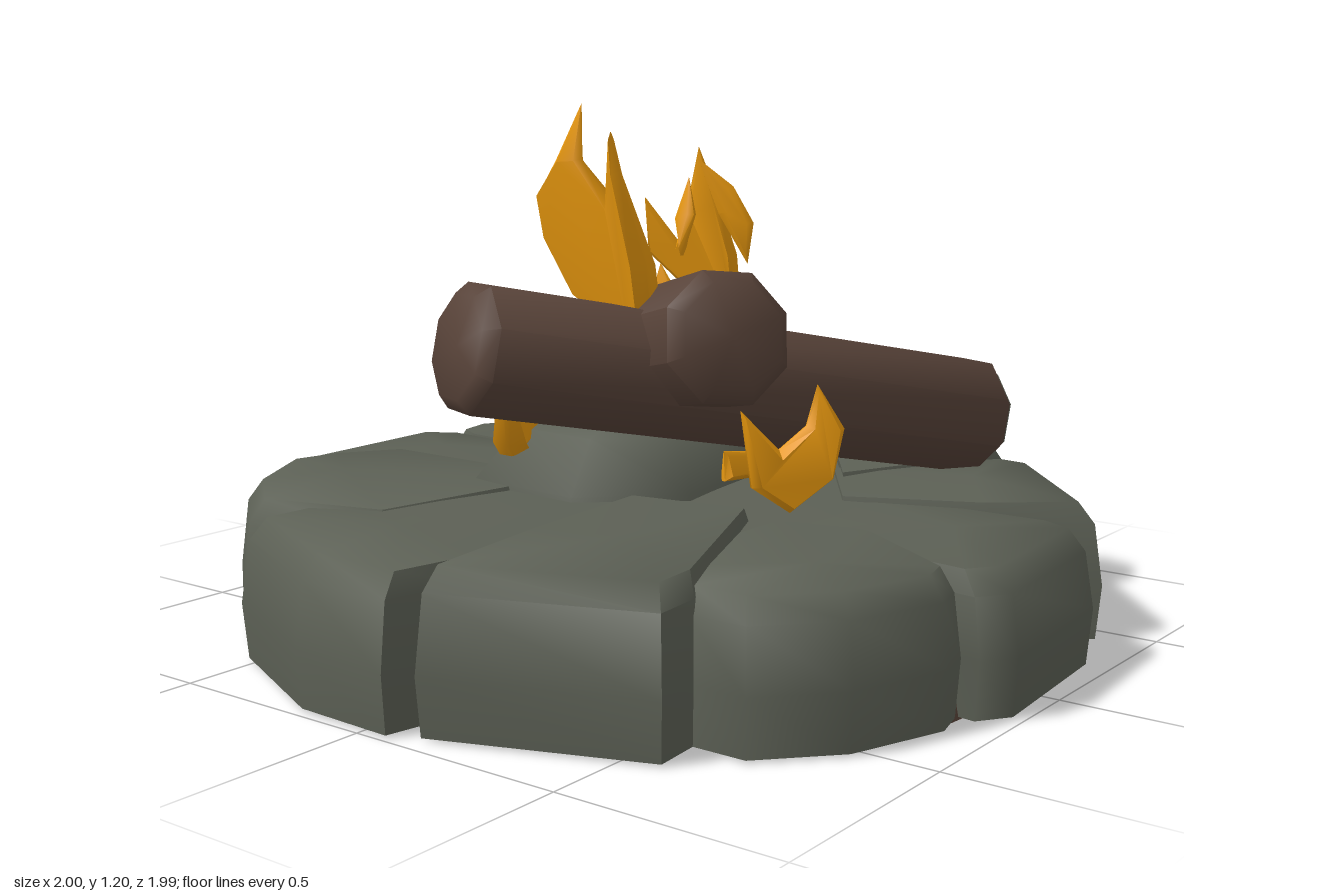
import * as THREE from 'three';
import { toCreasedNormals } from 'three/addons/utils/BufferGeometryUtils.js';

const material = (name, color, side = THREE.FrontSide) => {
  const m = new THREE.MeshStandardMaterial({ color, side });
  m.name = name;
  return m;
};

// Rounded block: footprint corners [x, z] lofted through [height, scale] levels,
// scaled about a point between its centre and the middle of the model
function block(points, levels, lift = 0) {
  const n = points.length;
  const cx = points.reduce((s, p) => s + p[0], 0) / n;
  const cz = points.reduce((s, p) => s + p[1], 0) / n;
  const ox = cx * 0.6, oz = cz * 0.6;
  const ring = [...points].sort((a, b) =>
    Math.atan2(a[1] - cz, a[0] - cx) - Math.atan2(b[1] - cz, b[0] - cx));
  const pos = [], idx = [];
  for (const [y, s] of levels)
    for (const [x, z] of ring) pos.push(ox + (x - ox) * s, y, oz + (z - oz) * s);
  const last = levels.length - 1, bottom = n * levels.length, top = bottom + 1;
  pos.push(cx, levels[0][0], cz, cx, levels[last][0] + lift, cz);
  for (let i = 0; i < n; i++) {
    const k = (i + 1) % n;
    for (let j = 0; j < last; j++) {
      const a = j * n + i, b = j * n + k, c = b + n, d = a + n;
      idx.push(a, d, c, a, c, b);
    }
    idx.push(bottom, i, k, top, last * n + k, last * n + i);
  }
  const g = new THREE.BufferGeometry();
  g.setAttribute('position', new THREE.Float32BufferAttribute(pos, 3));
  g.setIndex(idx);
  return toCreasedNormals(g, 1.1);
}

// Flame: outline [u, y] placed by a rule (u, y) -> [x, z], thick at the base and thin at the tips
function flame(outline, place, dir, thickness) {
  const bevel = 0.012;
  const shape = new THREE.Shape(outline.map(p => new THREE.Vector2(...p)));
  const g = new THREE.ExtrudeGeometry(shape, {
    depth: 0.01, bevelThickness: thickness / 2, bevelSize: bevel, bevelOffset: -bevel, bevelSegments: 1,
  });
  const p = g.attributes.position, l = Math.hypot(...dir);
  const heights = outline.map(q => q[1]);
  const low = Math.min(...heights), high = Math.max(...heights);
  for (let i = 0; i < p.count; i++) {
    const y = p.getY(i), [x, z] = place(p.getX(i), y);
    const taper = THREE.MathUtils.clamp(1.6 * (high - y) / (high - low), 0.06, 1);
    const d = (p.getZ(i) - 0.005) * taper;
    p.setXYZ(i, x - dir[1] / l * d, y, z + dir[0] / l * d);
  }
  return toCreasedNormals(g, 0.9);
}

export function createModel() {
  const model = new THREE.Group();
  model.name = 'campfire';
  const stone = material('stone', 0x5c6055);
  const wood = material('wood', 0x584339);
  const fire = material('fire', 0xe8980e, THREE.DoubleSide);
  const add = (name, geometry, mat, parent = model) => {
    const m = new THREE.Mesh(geometry, mat);
    m.name = name;
    parent.add(m);
    return m;
  };

  // Ring of overlapping stones: [top height, footprint]
  const stones = [
    [0.32, [[-0.25, -0.99], [0.18, -1], [0.23, -0.92], [0.2, -0.4], [-0.25, -0.4]]],
    [0.34, [[-0.25, -0.9], [-0.37, -0.93], [-0.6, -0.8], [-0.75, -0.62], [-0.66, -0.3], [-0.1, -0.2], [-0.1, -0.8]]],
    [0.33, [[-0.66, -0.52], [-0.83, -0.53], [-0.99, -0.18], [-1, 0.07], [-0.8, 0.11], [-0.2, 0.1], [-0.25, -0.4]]],
    [0.35, [[-0.97, 0.13], [-0.8, 0.59], [-0.68, 0.58], [-0.15, 0.35], [-0.2, 0.05], [-0.6, 0.08]]],
    [0.32, [[-0.69, 0.56], [-0.69, 0.7], [-0.54, 0.84], [-0.32, 0.92], [-0.24, 0.9], [-0.05, 0.6], [-0.1, 0.38], [-0.63, 0.38]]],
    [0.315, [[-0.24, 0.94], [-0.17, 0.99], [0.24, 0.96], [0.28, 0.88], [0.26, 0.3], [-0.16, 0.3]]],
    [0.33, [[0.27, 0.72], [0.42, 0.9], [0.77, 0.58], [0.78, 0.5], [0.4, 0.2], [0.12, 0.4]]],
    [0.34, [[0.62, 0.44], [0.86, 0.45], [0.99, 0.2], [1, 0.04], [0.9, -0.05], [0.65, 0.05], [0.3, 0.3]]],
    [0.33, [[0.92, 0.06], [1, 0.02], [0.99, -0.17], [0.8, -0.63], [0.7, -0.63], [0.25, -0.4], [0.25, 0.2]]],
    [0.325, [[0.71, -0.7], [0.7, -0.6], [0.5, -0.25], [0.15, -0.25], [0.2, -0.85], [0.24, -0.92], [0.34, -0.94], [0.53, -0.8]]],
  ];
  const ring = new THREE.Group();
  ring.name = 'stoneRing';
  model.add(ring);
  stones.forEach(([h, points], i) => add('ringStone' + (i + 1), block(points,
    [[0.006, 0.98], [0.13, 1], [h - 0.06, 0.965], [h - 0.012, 0.9]], 0.012), stone, ring));

  // Bed filling the middle, and the rock on it
  const bed = Array.from({ length: 12 }, (_, i) =>
    [0.76 * Math.cos(i * Math.PI / 6), 0.76 * Math.sin(i * Math.PI / 6)]);
  add('stoneBed', block(bed, [[0.006, 1], [0.2, 1], [0.3, 0.95]], 0.02), stone);
  add('centreRock', block(
    [[-0.27, -0.36], [0.1, -0.36], [0.39, -0.24], [0.3, 0.08], [-0.1, 0.14], [-0.29, -0.05]],
    [[0.2, 1], [0.33, 1], [0.45, 0.74]], 0.025), stone);

  // Log sunk into the underside
  add('buriedLog', block([[0.12, 0.94], [0.2, -0.45], [0, -0.97], [-0.2, -0.94], [-0.26, 0.9]],
    [[0, 0.99], [0.1, 0.97]]), wood);

  // Crossed logs with chamfered ends
  function log(name, from, to, r0, r1, cap) {
    const a = new THREE.Vector3(...from), b = new THREE.Vector3(...to);
    const L = a.distanceTo(b), c = 0.03;
    const profile = [[0, 0], [r0 * 0.8, 0], [r0, c], [r1, L - c], [r1 * 0.82, L], [0, L]];
    const group = new THREE.Group();
    group.name = name;
    group.position.copy(a);
    group.quaternion.setFromUnitVectors(new THREE.Vector3(0, 1, 0), b.sub(a).normalize());
    model.add(group);
    add(name + 'Body', toCreasedNormals(new THREE.LatheGeometry(
      profile.map(p => new THREE.Vector2(...p)), 8), 0.9), wood, group);
    if (cap) add(name + 'End', new THREE.CylinderGeometry(r1 * 0.82, r1 * 0.82, 0.006, 8), stone, group)
      .position.y = L;
  }
  log('lowerLog', [-0.615, 0.705, -0.085], [0.675, 0.43, 0.445], 0.146, 0.146, true);
  log('upperLog', [-0.235, 0.72, 0.35], [0.4, 0.43, -0.845], 0.152, 0.128, false);

  // Flames
  const flames = new THREE.Group();
  flames.name = 'flames';
  model.add(flames);
  const addFlame = (name, outline, place, dir, thickness) =>
    add(name, flame(outline, place, dir, thickness), fire, flames);
  addFlame('tallFlame',
    [[0.1, 0.85], [0.09, 0.7], [0.05, 0.67], [-0.1, 0.77], [-0.16, 0.9], [-0.17, 1], [-0.1, 1.08], [-0.03, 1.2], [-0.03, 1.08], [0.03, 0.99], [0.05, 1.14], [0.07, 1.05]],
    (u, y) => [-0.27 + 0.27 * Math.max(0, 1.08 - y), u], [0, 1], 0.08);
  addFlame('middleFlame',
    [[0.1, 0.85], [0.09, 0.69], [0, 0.74], [-0.1, 0.85], [-0.09, 0.98], [-0.03, 0.88], [0, 0.95], [0.05, 1.1], [0.08, 0.97]],
    (u, y) => [0.035 + 0.25 * (1.09 - y) + 0.35 * u, u], [0.35, 1], 0.05);
  addFlame('curledFlame',
    [[0.04, 0.7], [0.1, 0.6], [0.09, 0.49], [0.05, 0.46], [-0.05, 0.45], [-0.22, 0.49], [-0.18, 0.56], [-0.2, 0.7], [-0.17, 0.81], [-0.11, 0.7], [-0.1, 0.58], [-0.07, 0.54], [0.02, 0.54], [0.05, 0.6]],
    (u) => [0.26 + 0.38 * u, u], [0.38, 1], 0.05);
  addFlame('frontFlame',
    [[-0.17, 0.55], [-0.15, 0.38], [-0.08, 0.32], [0, 0.39], [0.02, 0.5], [-0.03, 0.6], [-0.05, 0.51], [-0.1, 0.46]],
    (u) => [u, 0.45 + 0.75 * u], [1, 0.75], 0.06);
  addFlame('backFlame',
    [[-0.3, 0.58], [-0.27, 0.42], [-0.17, 0.33], [-0.06, 0.36], [-0.04, 0.48], [-0.06, 0.63], [-0.1, 0.52], [-0.16, 0.46], [-0.22, 0.5]],
    (u) => [u, -0.3 - Math.max(0, 0.16 + u) * 1.3 + Math.max(0, -0.16 - u) * 0.4], [1, -0.5], 0.07);
  addFlame('sparkFlame',
    [[0.24, 0.85], [0.19, 0.96], [0.155, 1.08], [0.215, 1.02], [0.25, 0.94]],
    (u) => [-0.22 + 0.8 * u, u], [0.8, 1], 0.03);
  addFlame('smallSparkFlame',
    [[0.14, 0.87], [0.115, 0.95], [0.14, 1.04], [0.165, 0.96]],
    (u, y) => [-0.12 + 0.15 * (y - 0.97), u], [0, 1], 0.02);
  addFlame('lowFlame',
    [[0.02, 0.34], [0.33, 0.33], [0.32, 0.37], [0.02, 0.41]],
    (u) => [u, 0.14 + 0.2 * u], [1, 0.2], 0.03);
  return model;
}
